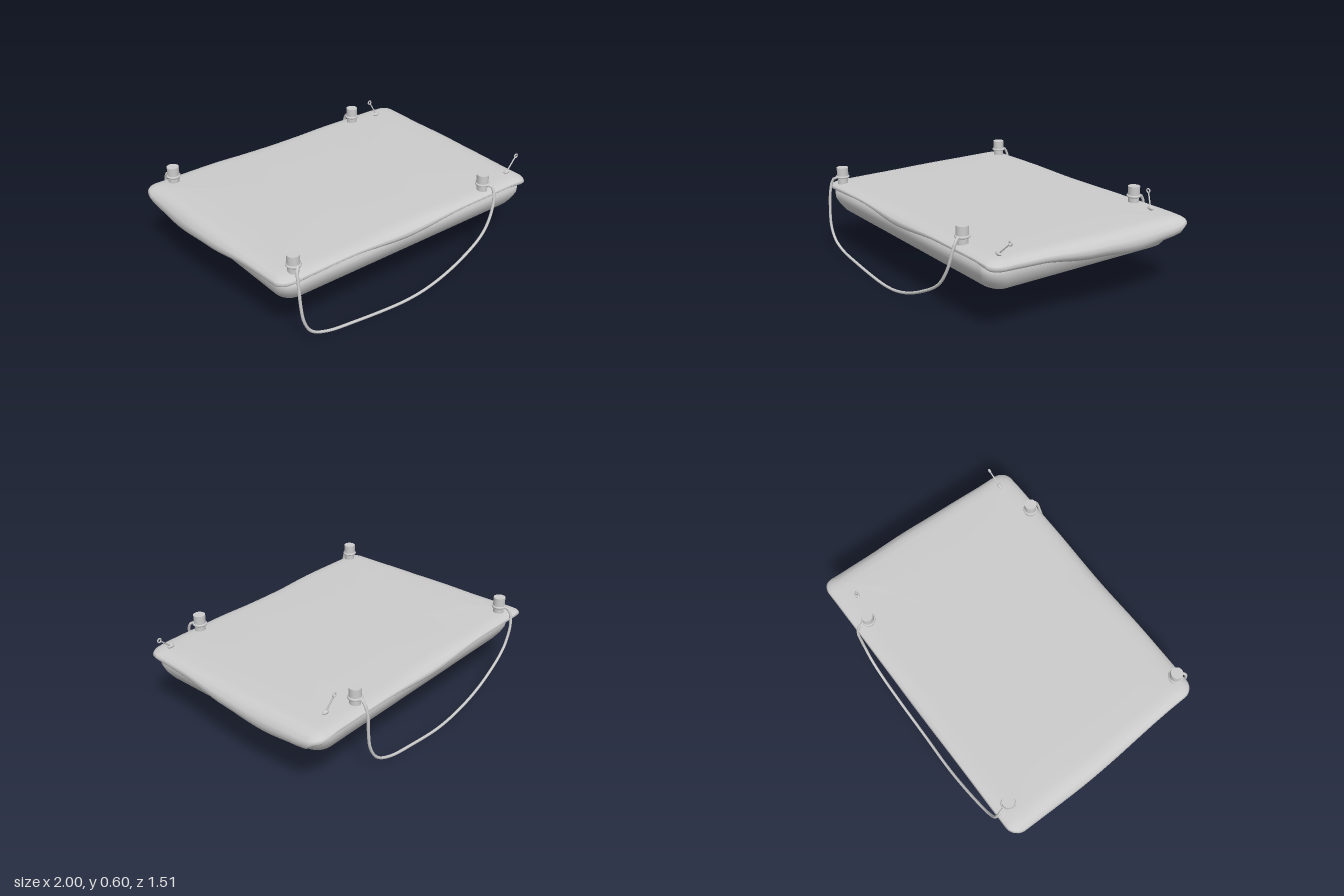
import * as THREE from 'three';

const material = new THREE.MeshStandardMaterial({ color: 0xcccccc, side: THREE.DoubleSide });
const V = (x, y, z) => new THREE.Vector3(x, y, z);

function add(parent, name, geometry, position) {
  const mesh = new THREE.Mesh(geometry, material);
  mesh.name = name;
  if (position) mesh.position.copy(position);
  parent.add(mesh);
  return mesh;
}

// Rounded rectangle with evenly divided edges, each point as [x, z, nx]
function outline(hx, hz, r, edge = 20, arc = 6) {
  const pts = [];
  const centres = [[1, 1], [-1, 1], [-1, -1], [1, -1]];
  centres.forEach(([sx, sz], c) => {
    const cx = sx * (hx - r), cz = sz * (hz - r);
    for (let i = 0; i <= arc; i++) {
      const a = (c + i / arc) * Math.PI / 2;
      pts.push([cx + r * Math.cos(a), cz + r * Math.sin(a), Math.cos(a)]);
    }
    const [tx, tz] = centres[(c + 1) % 4];
    const a = (c + 1) * Math.PI / 2;
    const ox = r * Math.cos(a), oz = r * Math.sin(a);
    for (let i = 1; i < edge; i++) {
      const t = i / edge;
      pts.push([cx + (tx * (hx - r) - cx) * t + ox, cz + (tz * (hz - r) - cz) * t + oz, Math.cos(a)]);
    }
  });
  return pts;
}

// Skin a stack of closed rings, listed from bottom to top
function loft(rings) {
  const n = rings[0].length, index = [];
  for (let k = 0; k < rings.length - 1; k++) {
    for (let j = 0; j < n; j++) {
      const b = k * n + j, b1 = k * n + (j + 1) % n;
      index.push(b, b + n, b1, b1, b + n, b1 + n);
    }
  }
  const geometry = new THREE.BufferGeometry().setFromPoints(rings.flat());
  geometry.setIndex(index);
  geometry.computeVertexNormals();
  return geometry;
}

function tube(points, radius, segments = 72) {
  return new THREE.TubeGeometry(new THREE.CatmullRomCurve3(points), segments, radius, 8);
}

// Smooth height curve through [position, y] keys
function keyed(keys, t) {
  if (t <= keys[0][0]) return keys[0][1];
  for (let i = 1; i < keys.length; i++) {
    const [a, ya] = keys[i - 1], [b, yb] = keys[i];
    if (t <= b) return ya + (yb - ya) * THREE.MathUtils.smoothstep(t, a, b);
  }
  return keys[keys.length - 1][1];
}

const endHem = [[-0.95, 0.42], [-0.5, 0.432], [-0.05, 0.393], [0.45, 0.43], [0.85, 0.432], [0.97, 0.41]];
const sideHem = [[-0.72, 0.42], [-0.6, 0.362], [-0.32, 0.337], [0, 0.358], [0.4, 0.4], [0.7, 0.41]];

// Padded base with rounded underside
function basePad() {
  // [half width, half depth, corner radius, height]
  const rows = [
    [0, 0, 0, 0.266], [0.82, 0.565, 0.05, 0.266], [0.85, 0.595, 0.07, 0.272], [0.885, 0.63, 0.09, 0.292],
    [0.912, 0.658, 0.1, 0.33], [0.925, 0.678, 0.1, 0.37], [0.925, 0.682, 0.1, 0.41], [0.9, 0.66, 0.1, 0.44],
    [0, 0, 0, 0.445],
  ];
  return loft(rows.map(([hx, hz, r, y]) => outline(hx, hz, r).map(([x, z]) => V(x, y, z))));
}

// Draped cover with a wavy rolled hem, narrower towards the front
function cover() {
  const top = 0.474;
  // [inset, share of the height between hem and top]
  const rows = [
    [0.11, 0.35], [0.07, 0.12], [0.035, 0], [0.012, 0.12], [0, 0.38], [0.008, 0.6],
    [0.032, 0.84], [0.065, 0.96], [0.11, 1], [0.25, 1.03],
  ];
  const rings = rows.map(([inset, share]) =>
    outline(1 - inset, 0.707 - inset, Math.max(0.08 - inset * 0.4, 0.03)).map(([x, z0, nx]) => {
      const z = z0 - 0.013;
      const w = nx * nx;
      const hem = keyed(sideHem, z) * w + keyed(endHem, x) * (1 - w);
      const taper = 1 - 0.043 * THREE.MathUtils.smoothstep(z, -0.25, 0.65);
      return V(x * taper, hem + (top - hem) * share, z);
    }));
  const inner = rings[rings.length - 1];
  for (const s of [0.6, 0]) rings.push(inner.map((p) => V(p.x * s, 0.48, p.z * s)));
  return loft(rings);
}

// Corner post: narrow neck, collar ring and wider cap
function post(x, z) {
  const group = new THREE.Group();
  group.name = 'cornerPost';
  add(group, 'postNeck', new THREE.CylinderGeometry(0.033, 0.033, 0.07, 24), V(0, 0.49, 0));
  add(group, 'postCap', new THREE.CylinderGeometry(0.037, 0.037, 0.058, 24), V(0, 0.546, 0));
  add(group, 'postCollar', new THREE.TorusGeometry(0.037, 0.008, 8, 24), V(0, 0.513, 0)).rotation.x = Math.PI / 2;
  group.position.set(x, 0, z);
  return group;
}

// Small pin with a foot and an eyelet
function pin(foot, eye) {
  const group = new THREE.Group();
  group.name = 'pin';
  const base = add(group, 'pinFoot', new THREE.SphereGeometry(0.024, 12, 8), foot);
  base.scale.set(1, 0.5, 0.5);
  add(group, 'pinShaft', tube([foot, foot.clone().lerp(eye, 0.45), foot.clone().lerp(eye, 0.88)], 0.0045, 8));
  add(group, 'pinEyelet', new THREE.TorusGeometry(0.012, 0.0045, 8, 16), eye);
  return group;
}

export function createModel() {
  const model = new THREE.Group();
  model.name = 'paddedTray';
  add(model, 'basePad', basePad());
  add(model, 'cover', cover());

  for (const x of [-0.83, 0.59]) for (const z of [-0.63, 0.63]) model.add(post(x, z));

  // Hanging cords, one along the front and one along the back
  add(model, 'frontCord', tube([
    V(-0.83, 0.513, 0.668), V(-0.85, 0.5, 0.69), V(-0.857, 0.43, 0.71), V(-0.855, 0.3, 0.722), V(-0.838, 0.19, 0.728),
    V(-0.79, 0.11, 0.728), V(-0.69, 0.065, 0.73), V(-0.5, 0.04, 0.735), V(-0.1, 0.012, 0.738),
    V(0.1, 0.04, 0.742), V(0.32, 0.12, 0.744), V(0.51, 0.23, 0.735), V(0.585, 0.34, 0.725),
    V(0.615, 0.45, 0.71), V(0.617, 0.5, 0.69), V(0.6, 0.513, 0.668),
  ], 0.009));
  add(model, 'backCord', tube([
    V(-0.835, 0.513, -0.668), V(-0.842, 0.5, -0.7), V(-0.835, 0.42, -0.725), V(-0.8, 0.32, -0.73), V(-0.74, 0.25, -0.735),
    V(-0.55, 0.14, -0.744), V(-0.35, 0.065, -0.746), V(-0.1, 0.012, -0.738), V(0.2, 0.03, -0.736),
    V(0.4, 0.058, -0.732), V(0.51, 0.11, -0.727), V(0.565, 0.2, -0.722), V(0.583, 0.3, -0.722),
    V(0.59, 0.43, -0.72), V(0.592, 0.5, -0.695), V(0.59, 0.513, -0.668),
  ], 0.009));

  model.add(pin(V(0.86, 0.484, 0.585), V(0.948, 0.563, 0.573)));
  model.add(pin(V(0.78, 0.489, -0.587), V(0.734, 0.584, -0.607)));
  return model;
}
